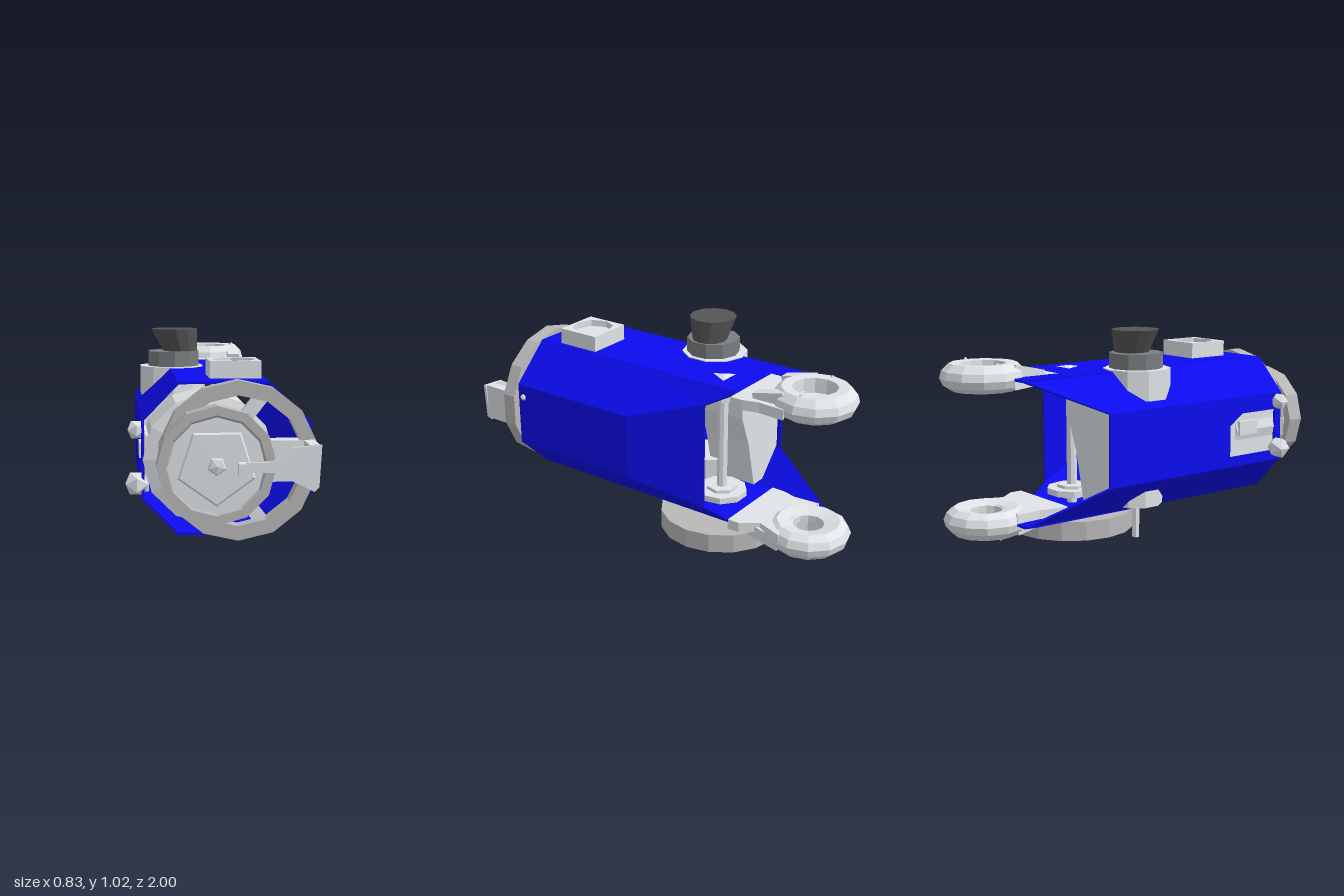
import * as THREE from 'three';

const material = (color) =>
  new THREE.MeshStandardMaterial({ color, flatShading: true, side: THREE.DoubleSide });
const grey = material(0xe0e4e8);
const ringGrey = material(0xb8b8b8);
const blue = material(0x0c0cf0);
const baseGrey = material(0x7a7e80);
const dark = material(0x555555);

export function createModel() {
  const model = new THREE.Group();

  const add = (name, geometry, mat, x = 0, y = 0, z = 0, parent = model) => {
    const mesh = new THREE.Mesh(geometry, mat);
    mesh.name = name;
    mesh.position.set(x, y, z);
    parent.add(mesh);
    return mesh;
  };
  const box = (name, w, h, d, x, y, z, parent) =>
    add(name, new THREE.BoxGeometry(w, h, d), grey, x, y, z, parent);
  const cyl = (name, rTop, rBottom, h, sides, mat, x, y, z) =>
    add(name, new THREE.CylinderGeometry(rTop, rBottom, h, sides), mat, x, y, z);
  const lathe = (points, sides) =>
    new THREE.LatheGeometry(points.map(([r, y]) => new THREE.Vector2(r, y)), sides);
  const polygon = (points) => new THREE.Shape(points.map(([x, y]) => new THREE.Vector2(x, y)));
  const extrude = (shape, depth) => new THREE.ExtrudeGeometry(shape, { depth, bevelEnabled: false });
  // Turned parts whose axis points to the front
  const turned = (name, points, sides, mat, x, y, z) => {
    const mesh = add(name, lathe(points, sides), mat, x, y, z);
    mesh.rotation.x = Math.PI / 2;
    return mesh;
  };
  // Thin panels from lists of four corners
  const panels = (name, quads) => {
    const geometry = new THREE.BufferGeometry();
    const corners = quads.flatMap(([a, b, c, d]) => [a, b, c, a, c, d].flat());
    geometry.setAttribute('position', new THREE.Float32BufferAttribute(corners, 3));
    geometry.computeVertexNormals();
    add(name, geometry, blue);
  };

  // Body: eight-sided open housing with wall thickness, mirrored top to bottom
  const front = 0.71, mid = 0.02, middle = 0.495;
  const outline = [[-0.35, 0.67], [-0.19, 0.835], [0.21, 0.835], [0.4, 0.655], [0.4, middle]];
  const ends = [[-0.35, 0.67, -0.39], [-0.18, 0.835, -0.75],
    [0.21, 0.835, -0.48], [0.27, 0.76, -0.34], [0.27, middle, -0.34]];
  const quads = [];
  for (const side of [1, -1]) {
    const at = (scale) => ([x, y, z]) =>
      [0.02 + (x - 0.02) * scale, middle + side * (y - middle) * scale, z];
    const outer = at(1), inner = at(0.975);
    const line = (i) => [[...outline[i], front], [...outline[i], mid], ends[i]];
    for (const i of [0, 2, 3]) {
      const next = line(i + 1);
      const rows = line(i).map((p, k) => [p, next[k]]);
      for (let k = 0; k < 2; k++) {
        const quad = [rows[k][0], rows[k][1], rows[k + 1][1], rows[k + 1][0]];
        quads.push(quad.map(outer), quad.map(inner));
      }
      for (const [a, b] of [rows[0], rows[2]]) quads.push([outer(a), outer(b), inner(b), inner(a)]);
    }
  }
  panels('housingSides', quads);

  // Top and bottom plates with the long rear tongue
  const plate = extrude(polygon([[-0.19, 0.71], [0.21, 0.71], [0.21, -0.48],
    [-0.08, -0.48], [-0.08, -0.75], [-0.18, -0.75], [-0.19, -0.7]]), 0.012);
  plate.rotateX(Math.PI / 2);
  add('housingTop', plate, blue, 0, 0.837, 0);
  add('housingBottom', plate, blue, 0, 0.167, 0);

  // Right wall with a window near the front, and the panel set inside it
  const wall = polygon([[-0.71, 0.32], [0.39, 0.32], [0.39, 0.67], [-0.71, 0.67]]);
  wall.holes.push(polygon([[-0.67, 0.37], [-0.36, 0.37], [-0.36, 0.53], [-0.44, 0.585], [-0.67, 0.585]]));
  const wallMesh = add('housingWall', extrude(wall, 0.012), blue, -0.35, 0, 0);
  wallMesh.rotation.y = Math.PI / 2;
  box('windowPanel', 0.015, 0.25, 0.34, -0.325, 0.475, 0.52);
  box('windowLatch', 0.03, 0.07, 0.12, -0.34, 0.51, 0.48);

  // Inner blocks: rear closing block and front plug
  add('rearBlock', extrude(polygon([[-0.33, 0.34], [-0.2, 0.2], [-0.12, 0.2], [-0.06, 0.45], [0.0, 0.6],
    [0.0, 0.81], [-0.18, 0.81], [-0.33, 0.65]]), 0.25), grey, 0, 0, -0.375);
  turned('frontPlug', [[0, -0.3], [0.29, -0.3], [0.29, 0], [0.22, 0.02], [0.2, 0.13], [0, 0.13]],
    12, grey, -0.055, 0.495, 0.71);

  // Front hand ring and its bracket
  turned('handRing', [[0.285, 0], [0.35, 0], [0.35, 0.07], [0.285, 0.07], [0.285, 0]],
    14, ringGrey, 0.065, 0.5, 0.74);
  box('ringBracket', 0.22, 0.18, 0.08, 0.25, 0.5, 0.78);
  for (const side of [-1, 1]) {
    const brace = box('ringBrace', 0.2, 0.06, 0.04, 0.13, 0.5 + side * 0.22, 0.74);
    brace.rotation.z = side * 0.9;
  }

  // Front dial with broad rim, raised pentagonal face and short tip
  turned('frontDial', [[0, 0], [0.255, 0], [0.255, 0.085], [0.215, 0.085], [0.205, 0.075]],
    12, ringGrey, -0.04, 0.5, 0.84);
  turned('dialPlate', [[0.208, 0], [0, 0.002]], 12, grey, -0.04, 0.5, 0.916);
  turned('dialFace', [[0.175, 0], [0.165, 0.008], [0, 0.01]], 5, grey, -0.04, 0.5, 0.916);
  turned('dialTip', [[0.045, 0], [0.035, 0.01], [0, 0.018]], 5, grey, -0.04, 0.5, 0.922);

  // Pointer arm: flared plate, thin finger and bent end
  add('pointerArm', extrude(polygon([[0.05, 0.475], [0.2, 0.475], [0.37, 0.39], [0.39, 0.41],
    [0.4, 0.59], [0.28, 0.58], [0.19, 0.52], [0.05, 0.52]]), 0.014), grey, 0, 0, 0.945);
  box('pointerTip', 0.03, 0.05, 0.05, 0.06, 0.495, 0.975);
  box('pointerPost', 0.045, 0.18, 0.15, 0.37, 0.5, 0.875);

  // Rear lugs: rounded eye with deep socket, neck with side rails, the lower one turned over
  const eye = [[0.075, -0.05], [0.15, -0.068], [0.185, -0.045], [0.2, -0.01], [0.19, 0.025], [0.155, 0.058],
    [0.105, 0.055], [0.1, -0.015], [0.075, -0.02], [0.075, -0.05]];
  const neck = extrude(polygon([[-0.2, 0.48], [0.2, 0.48], [0.2, 0.54], [0.18, 0.62], [0.19, 0.75],
    [0.1, 0.72], [-0.1, 0.72], [-0.19, 0.75], [-0.14, 0.62], [-0.2, 0.54]]), 0.05);
  neck.rotateX(-Math.PI / 2);
  for (const [name, y, turn] of [['upperLug', 0.84, 0], ['lowerLug', 0.155, Math.PI]]) {
    const lug = new THREE.Group();
    lug.name = name;
    lug.position.set(0.07, y, 0);
    lug.rotation.z = turn;
    add('lugEye', lathe(eye, 12), grey, 0, 0, -0.8, lug);
    add('lugNeck', neck, grey, 0, -0.055, 0, lug);
    for (const side of [-1, 1]) {
      const rail = box('lugRail', 0.06, 0.06, 0.16, side * 0.125, 0.008, -0.65, lug);
      rail.rotation.x = 0.22;
      add('lugStud', new THREE.OctahedronGeometry(0.035), grey, side * 0.14, 0.035, -0.81, lug);
    }
    model.add(lug);
  }

  // Vertical spindle with bosses and the lower handwheel
  cyl('spindle', 0.025, 0.025, 0.69, 8, grey, 0.07, 0.49, -0.31);
  for (const side of [-1, 1]) {
    cyl('spindleBoss', 0.125, 0.125, 0.03, 9, grey, 0.07, middle + side * 0.265, -0.31);
    cyl('spindleCollar', 0.075, 0.075, 0.06, 7, grey, 0.07, middle + side * 0.265, -0.31);
  }
  cyl('spindleCap', 0, 0.075, 0.012, 3, grey, 0.08, 0.841, -0.32);
  add('handwheel', lathe([[0, 0.075], [0.23, 0.075], [0.25, 0.05], [0.3, 0.05], [0.3, 0.142],
    [0, 0.142]], 16), ringGrey, 0.07, 0, -0.31);
  cyl('handwheelFace', 0.215, 0.215, 0.012, 10, baseGrey, 0.07, 0.071, -0.31);
  cyl('handwheelHub', 0.06, 0.045, 0.02, 6, grey, 0.07, 0.061, -0.31);
  cyl('handwheelPin', 0.022, 0.018, 0.15, 6, grey, -0.157, 0.075, -0.09);

  // Top control knob on its boss, with a matching boss below
  cyl('knobBoss', 0.162, 0.162, 0.142, 10, grey, -0.172, 0.771, -0.095);
  cyl('lowerBoss', 0.13, 0.13, 0.12, 10, grey, -0.165, 0.237, -0.095);
  cyl('knobBase', 0.13, 0.13, 0.11, 10, baseGrey, -0.162, 0.86, -0.092);
  const knob = new THREE.CylinderGeometry(0.115, 0.085, 0.11, 12);
  const knobPos = knob.attributes.position;
  for (let i = 0; i < knobPos.count; i++) {
    if (knobPos.getY(i) < 0) knobPos.setX(i, knobPos.getX(i) + 0.028);
  }
  add('knob', knob, dark, -0.157, 0.97, -0.092);

  // Top socket block with an eight-sided recess, and the plate under the body
  const socketShape = polygon([[-0.115, -0.11], [0.115, -0.11], [0.115, 0.11], [-0.115, 0.11]]);
  socketShape.holes.push(polygon(Array.from({ length: 8 }, (_, i) =>
    [0.105 * Math.cos(i * Math.PI / 4), 0.1 * Math.sin(i * Math.PI / 4)])));
  const socket = extrude(socketShape, 0.08);
  socket.rotateX(-Math.PI / 2);
  add('socketBlock', socket, grey, 0.075, 0.835, 0.485);
  box('socketFloor', 0.21, 0.045, 0.2, 0.075, 0.86, 0.485);
  box('lowerPlate', 0.15, 0.008, 0.17, 0.09, 0.152, 0.46);

  // Small studs on the sides
  for (const [x, y, z, r] of [[-0.37, 0.625, 0.68, 0.045], [-0.37, 0.385, 0.68, 0.058], [0.395, 0.59, 0.68, 0.02]]) {
    add('sideStud', new THREE.IcosahedronGeometry(r), grey, x, y, z);
  }
  return model;
}
